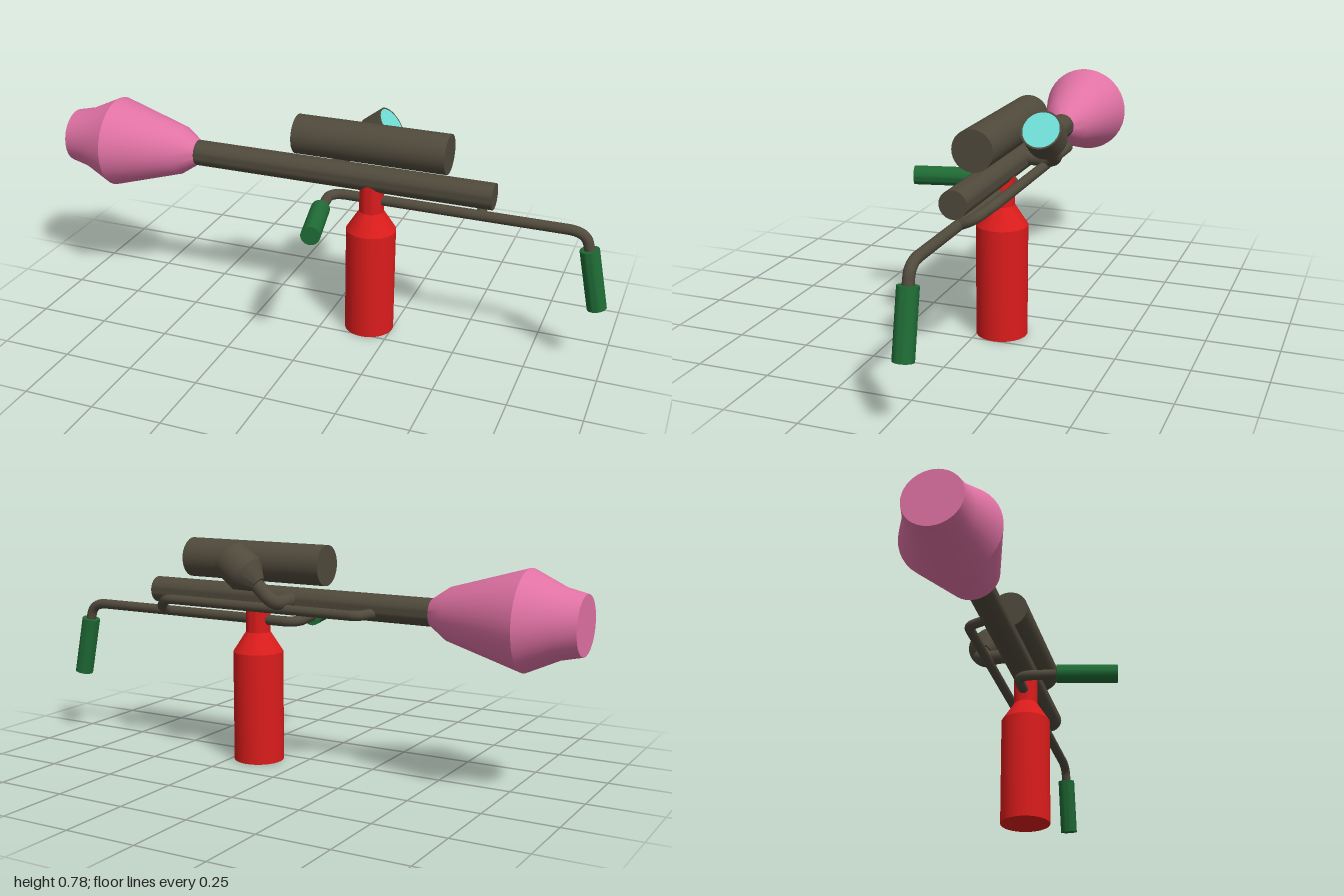
import * as THREE from 'three';
import { toCreasedNormals } from 'three/addons/utils/BufferGeometryUtils.js';

const V = (x, y, z) => new THREE.Vector3(x, y, z);
const AXIS_Z = -0.077;

export function createModel() {
  const model = new THREE.Group();
  model.name = 'launcher';
  const mat = (color) => new THREE.MeshStandardMaterial({ color });
  const metal = mat(0x504a3c), green = mat(0x1f6b35), red = mat(0xdc1c1c);
  const pink = mat(0xe072a4), cyan = mat(0x70e0d8);

  function add(name, geometry, material) {
    const mesh = new THREE.Mesh(geometry, material);
    mesh.name = name;
    model.add(mesh);
    return mesh;
  }

  // Turned part: profile of [radius, distance] pairs along the line from start towards end
  function turned(name, profile, start, end, material, segments = 32) {
    const points = profile.map(([r, d]) => new THREE.Vector2(r, d));
    const mesh = add(name, toCreasedNormals(new THREE.LatheGeometry(points, segments), 0.4), material);
    mesh.position.copy(start);
    mesh.quaternion.setFromUnitVectors(V(0, 1, 0), end.clone().sub(start).normalize());
    return mesh;
  }

  function rod(name, start, end, radius, material) {
    const length = start.distanceTo(end);
    return turned(name, [[0, 0], [radius, 0], [radius, length], [0, length]], start, end, material);
  }

  // Pipe of straight runs with rounded bends at the inner points
  function pipe(name, points, radius, bend) {
    const path = new THREE.CurvePath();
    let last = points[0];
    for (let i = 1; i < points.length - 1; i++) {
      const p = points[i];
      const toward = (q) => p.clone().add(q.clone().sub(p).setLength(Math.min(bend, p.distanceTo(q) * 0.48)));
      const a = toward(points[i - 1]), b = toward(points[i + 1]);
      path.add(new THREE.LineCurve3(last, a));
      path.add(new THREE.QuadraticBezierCurve3(a, p, b));
      last = b;
    }
    path.add(new THREE.LineCurve3(last, points[points.length - 1]));
    return add(name, new THREE.TubeGeometry(path, 120, radius, 16), metal);
  }

  // Barrel and the thick cylinder above it
  rod('barrel', V(-0.51, 0.58, AXIS_Z), V(0.595, 0.58, AXIS_Z), 0.046, metal);
  rod('upperCylinder', V(-0.11, 0.707, AXIS_Z), V(0.435, 0.707, AXIS_Z), 0.069, metal);

  // Bulging nozzle
  turned('nozzle', [[0, 0], [0.096, 0], [0.112, 0.07], [0.163, 0.18], [0.087, 0.44], [0.046, 0.5], [0, 0.5]],
    V(-1, 0.58, AXIS_Z), V(0, 0.58, AXIS_Z), pink, 40);

  // Gas bottle
  turned('bottle', [[0, 0], [0.088, 0], [0.088, 0.39], [0.043, 0.46], [0.043, 0.57], [0, 0.57]],
    V(0.165, 0, AXIS_Z), V(0.165, 1, AXIS_Z), red);

  // Handle bar running from the front grip to the rear grip
  pipe('handleBar', [V(0.035, 0.504, 0.08), V(0.012, 0.504, AXIS_Z), V(0.905, 0.504, AXIS_Z), V(0.927, 0.42, AXIS_Z)],
    0.018, 0.06);
  rod('frontGrip', V(0.03, 0.504, 0.067), V(0.077, 0.504, 0.278), 0.033, green);
  rod('rearGrip', V(0.921, 0.443, AXIS_Z), V(0.965, 0.232, AXIS_Z), 0.033, green);

  // Rail along the back
  pipe('backRail', [V(-0.3, 0.565, -0.11), V(-0.275, 0.563, -0.175), V(0.49, 0.563, -0.175),
    V(0.55, 0.525, -0.125), V(0.55, 0.504, AXIS_Z)], 0.017, 0.025);

  // Sight: bent arm, flared body and lens, tilted upwards
  pipe('sightArm', [V(0.012, 0.586, -0.09), V(0.012, 0.586, -0.217), V(0.105, 0.668, -0.217)], 0.025, 0.04);
  const lens = V(0.187, 0.73, -0.217), aim = V(0.8, 0.6, 0);
  const back = lens.clone().addScaledVector(aim, -0.14);
  turned('sightBody', [[0, 0], [0.028, 0], [0.068, 0.057], [0.068, 0.14], [0.062, 0.14], [0.062, 0.136], [0, 0.136]],
    back, lens, metal);
  rod('sightLens', lens.clone().addScaledVector(aim, -0.01), lens, 0.062, cyan);

  return model;
}
